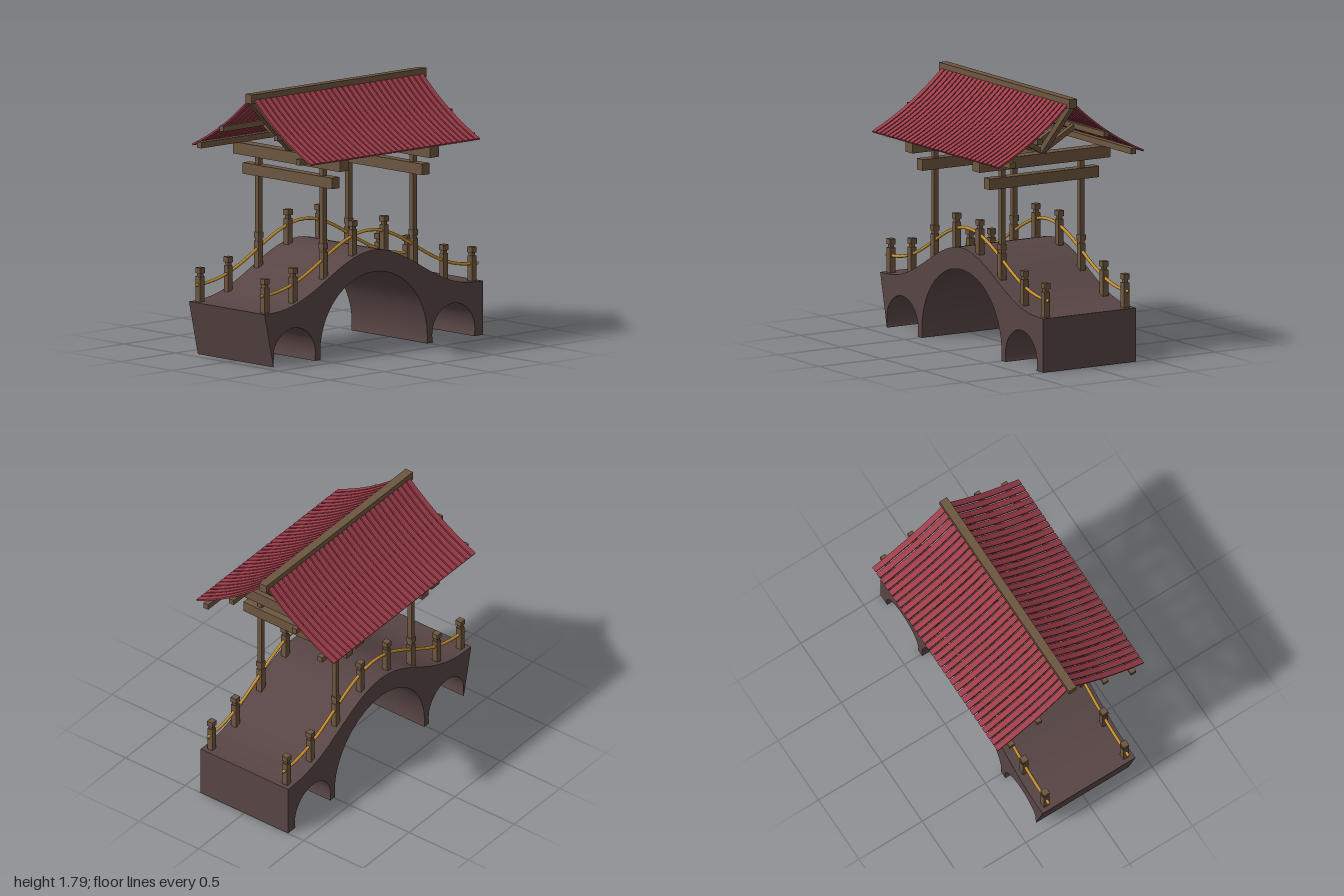
import * as THREE from 'three';

const stone = new THREE.MeshStandardMaterial({ name: 'dark stone', color: 0x584545 });
const wood = new THREE.MeshStandardMaterial({ name: 'brown wood', color: 0x6d5640 });
const red = new THREE.MeshStandardMaterial({ name: 'red roof', color: 0x9c3c49 });
const gold = new THREE.MeshStandardMaterial({ name: 'golden rope', color: 0xc8922e });

// Height of the humped deck along x
const deckY = (x) => 0.365 + 0.323 * Math.pow(Math.cos((Math.PI * x) / 2) ** 2, 1.3);

function box(parent, name, w, h, d, x, y, z) {
  const m = new THREE.Mesh(new THREE.BoxGeometry(w, h, d), wood);
  m.name = name;
  m.position.set(x, y, z);
  parent.add(m);
  return m;
}

// Square timber running from point a to point b
function strut(parent, name, a, b, size) {
  const from = new THREE.Vector3(...a), to = new THREE.Vector3(...b);
  const m = box(parent, name, size, size, from.distanceTo(to), 0, 0, 0);
  m.position.copy(from).add(to).multiplyScalar(0.5);
  m.lookAt(to);
}

// Side outline with three arches, extruded across the width
function makeBridge() {
  const s = new THREE.Shape();
  const arch = (cx, r) => {
    const a = Math.asin(0.05 / r);
    s.absarc(cx, 0.05, r, Math.PI + a, -a, true);
  };
  s.moveTo(-1, 0);
  arch(-0.73, 0.195);
  arch(0, 0.49);
  arch(0.73, 0.195);
  s.lineTo(1, 0);
  for (let i = 0; i <= 40; i++) s.lineTo(1 - i / 20, deckY(1 - i / 20));
  const g = new THREE.ExtrudeGeometry(s, { depth: 0.735, bevelEnabled: false, curveSegments: 28 });
  g.translate(0, 0, -0.3675);
  const m = new THREE.Mesh(g, stone);
  m.name = 'archedBridge';
  return m;
}

// Railing posts with necks and caps, plus the rope through them
function makeRailing(z) {
  const rail = new THREE.Group();
  rail.name = 'railing';
  for (const side of [-1, 1]) {
    for (const px of [0.143, 0.412, 0.69, 0.948]) {
      const x = px * side, y = deckY(px);
      const post = new THREE.Group();
      post.name = 'railPost';
      box(post, 'postShaft', 0.042, 0.21, 0.042, x, y + 0.065, z);
      box(post, 'postNeck', 0.03, 0.03, 0.03, x, y + 0.18, z);
      box(post, 'postCap', 0.045, 0.038, 0.045, x, y + 0.211, z);
      rail.add(post);
    }
  }
  const pts = [];
  for (let i = 0; i <= 24; i++) {
    const x = -1 + i / 12;
    pts.push(new THREE.Vector3(x, deckY(x) + 0.114 + 0.014 * (1 - x * x), z));
  }
  const rope = new THREE.Mesh(
    new THREE.TubeGeometry(new THREE.CatmullRomCurve3(pts), 64, 0.011, 8), gold);
  rope.name = 'rope';
  rail.add(rope);
  return rail;
}

// Columns, cross beams, purlins and braces carrying the roof
function makeFrame() {
  const f = new THREE.Group();
  f.name = 'roofFrame';
  for (const s of [-1, 1]) {
    const x = 0.412 * s;
    for (const z of [-0.313, 0.313]) box(f, 'column', 0.034, 0.79, 0.034, x, 0.915, z);
    box(f, 'lowerCrossBeam', 0.07, 0.075, 0.87, x, 1.195, 0);
    box(f, 'upperCrossBeam', 0.086, 0.08, 1.04, x, 1.325, 0);
    strut(f, 'ridgeBrace', [x, 1.365, 0], [0.775 * s, 1.735, 0], 0.04);
    box(f, 'eavePurlin', 1.6, 0.04, 0.04, 0, 1.385, 0.48 * s);
    box(f, 'middlePurlin', 1.6, 0.038, 0.038, 0, 1.522, 0.264 * s);
    for (let i = 0; i < 7; i++) {
      strut(f, 'purlinStrut', [-0.412 + i * 0.1373, 1.372, 0],
        [-0.412 + i * 0.1373, 1.522, 0.264 * s], 0.034);
    }
  }
  box(f, 'centreTie', 0.8, 0.035, 0.04, 0, 1.345, 0);
  box(f, 'ridgeBeam', 1.6, 0.062, 0.06, 0, 1.755, 0);
  return f;
}

// Curved slats on both slopes
function makeRoof() {
  const curve = new THREE.QuadraticBezierCurve(
    new THREE.Vector2(0.02, 1.757), new THREE.Vector2(0.27, 1.52), new THREE.Vector2(0.58, 1.38));
  const top = curve.getPoints(10);
  const low = top.map((p) => new THREE.Vector2(p.x - 0.006, p.y - 0.011)).reverse();
  const g = new THREE.ExtrudeGeometry(new THREE.Shape([...top, ...low]),
    { depth: 0.04, bevelEnabled: false });
  g.translate(0, 0, -0.02);
  g.rotateY(-Math.PI / 2);
  const roof = new THREE.Group();
  roof.name = 'roof';
  for (const turn of [0, Math.PI]) {
    const slope = new THREE.Group();
    slope.name = 'roofSlope';
    slope.rotation.y = turn;
    for (let i = -15; i <= 15; i++) {
      const slat = new THREE.Mesh(g, red);
      slat.name = 'roofSlat';
      slat.position.x = i * 0.0502;
      slope.add(slat);
    }
    roof.add(slope);
  }
  return roof;
}

export function createModel() {
  const model = new THREE.Group();
  model.name = 'coveredBridge';
  model.add(makeBridge(), makeRailing(0.315), makeRailing(-0.315), makeFrame(), makeRoof());
  return model;
}
